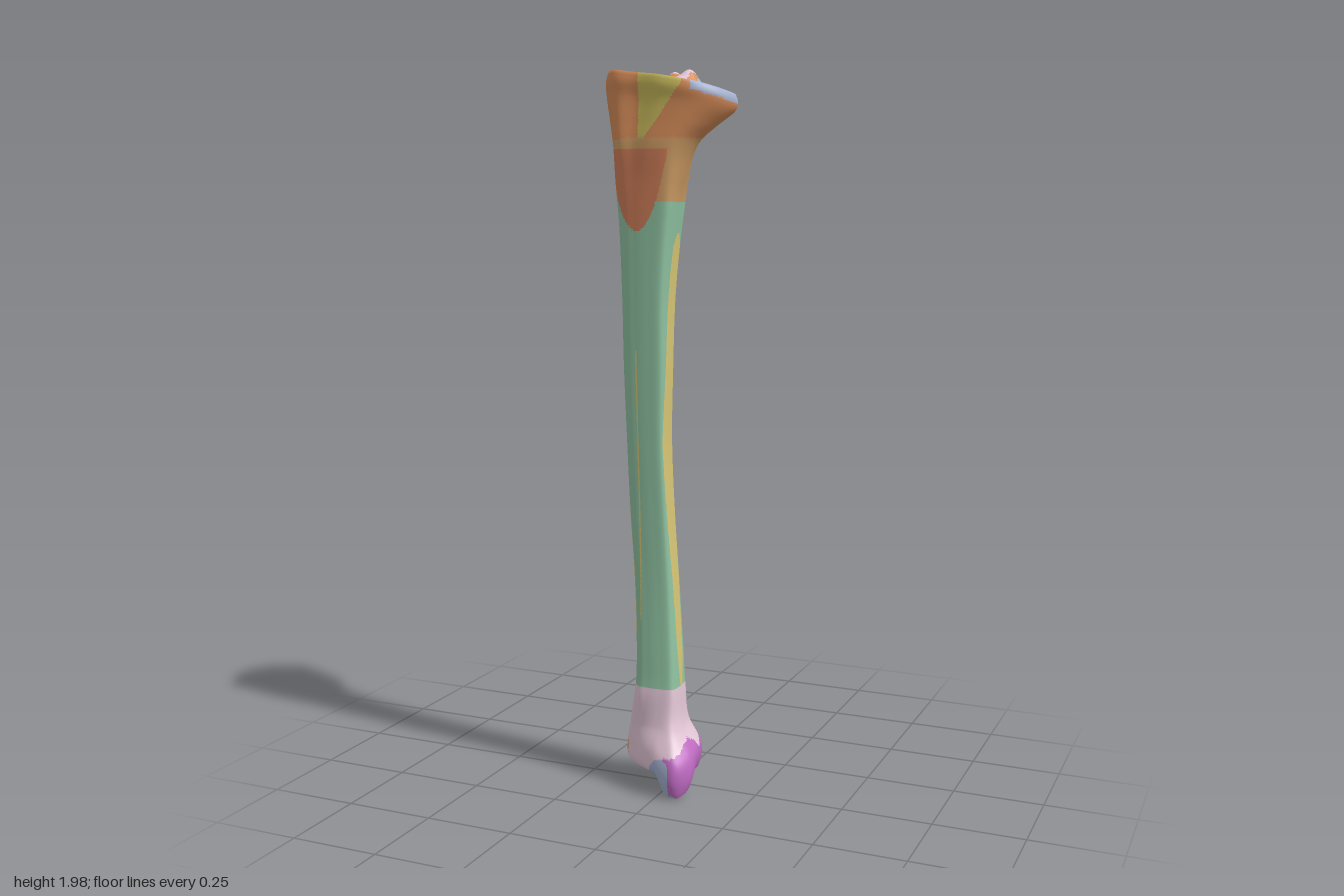
import * as THREE from 'three';

// Long bone: one lofted surface, divided into named anatomical regions
const N = 216, SIDE = 250, CAP = 32;
const RIM_TOP = 1.95, RIM_BOTTOM = 0.05;

// Cross-section outlines, normalised to -1..1, from +x round by +z
const HEAD = [[1, 0], [.9, .5], [.6, .87], [.15, 1], [-.27, .93], [-.65, .92], [-.92, .43], [-1, -.05], [-.86, -.6], [-.46, -1], [0, -.87], [.65, -.5]];
const SHAFT = [[1, .05], [1, .6], [.86, .92], [.35, 1], [-.15, 1], [-.62, .92], [-.92, .52], [-1, .02], [-.8, -.48], [-.35, -.84], [.32, -1], [.88, -.65]];
const FOOT = [[1, .2], [.98, .65], [.7, .97], [.15, .85], [-.35, .63], [-.75, .32], [-.96, -.02], [-.97, -.35], [-.93, -.7], [-.5, -.95], [.1, -1], [.75, -.78]];

// Height: min x, max x, min z, max z
const EXTENTS = [
  [.05, -.12, .08, -.07, .13], [.07, -.132, .087, -.082, .139], [.12, -.135, .086, -.085, .136],
  [.2, -.118, .046, -.06, .10], [.3, -.098, .035, -.045, .085], [.4, -.095, .03, -.04, .08],
  [.6, -.10, .02, -.03, .075], [.8, -.11, .01, -.02, .08], [1, -.115, .005, -.013, .09],
  [1.2, -.12, .01, -.012, .10], [1.4, -.122, .016, -.02, .11], [1.6, -.13, .035, -.035, .12],
  [1.7, -.14, .052, -.045, .126], [1.8, -.15, .09, -.06, .134], [1.85, -.165, .135, -.082, .132],
  [1.9, -.183, .178, -.13, .133], [1.93, -.185, .184, -.141, .139], [1.95, -.178, .178, -.137, .136],
];
const extents = new THREE.CubicInterpolant(EXTENTS.map(r => r[0]), EXTENTS.flatMap(r => r.slice(1)), 4);

const step = THREE.MathUtils.smoothstep, mix = THREE.MathUtils.lerp;
const bump = (x, z, cx, cz, r) => Math.exp(-((x - cx) ** 2 + (z - cz) ** 2) / (r * r));
const inside = (a, b, ca, cb, ra, rb) => ((a - ca) / ra) ** 2 + ((b - cb) / rb) ** 2 < 1;

// Piecewise linear lookup in [key, value] pairs
function lookup(table, k) {
  for (let i = 1; i < table.length; i++) {
    const [k0, v0] = table[i - 1], [k1, v1] = table[i];
    if (k <= k1) return mix(v0, v1, THREE.MathUtils.clamp((k - k0) / (k1 - k0), 0, 1));
  }
  return table[table.length - 1][1];
}

// Upper joint surface: two hollows and the raised spines between them
function topHeight(x, z) {
  const y = 1.951 - .15 * x + .15 * z
    + .038 * bump(x, z, -.012, -.042, .03) + .042 * bump(x, z, .047, -.012, .032)
    + .015 * bump(x, z, .01, .03, .07)
    - .012 * bump(x, z, -.09, .02, .06) - .01 * bump(x, z, .115, .01, .05)
    - .012 * bump(x, z, 0, -.13, .04);
  return Math.min(y, 2);
}

// Lower joint surface: shallow arch with the inner ankle knob hanging below
function bottomHeight(x, z) {
  const arch = .064 + .032 * bump(x, z, -.025, .04, .07);
  const knob = .01 + .045 * (1 - step(z, .02, .1)) + .02 * step(z, .11, .14) + .02 * step(x, .055, .09);
  return mix(arch, knob, step(x, -.01, .036));
}

// Closed smooth outline at parameter u in 0..1
function outline(points, u) {
  const n = points.length, f = u * n, i = Math.floor(f), t = f - i;
  const [a, b, c, d] = [-1, 0, 1, 2].map(k => points[(i + k + n) % n]);
  return [0, 1].map(k => .5 * (2 * b[k] + (c[k] - a[k]) * t
    + (2 * a[k] - 5 * b[k] + 4 * c[k] - d[k]) * t * t
    + (3 * b[k] - a[k] - 3 * c[k] + d[k]) * t * t * t));
}

function ringPoint(h, u, s) {
  const [x0, x1, z0, z1] = extents.evaluate(h);
  const wTop = step(h, 1.62, 1.9), wBottom = 1 - step(h, .1, .3);
  const a = outline(SHAFT, u), b = outline(HEAD, u), c = outline(FOOT, u);
  const p = [0, 1].map(k => mix(mix(a[k], b[k], wTop), c[k], wBottom));
  return [(x0 + x1) / 2 + p[0] * s * (x1 - x0) / 2, (z0 + z1) / 2 + p[1] * s * (z1 - z0) / 2];
}

// Borders of the ridge between the two upper joint areas, as [z, x]
const RIDGE_MIN = [[-.14, -.05], [-.1, -.03], [-.07, -.055], [-.03, -.065], [0, -.045], [.06, -.07], [.1, -.05], [.12, -.08]];
const RIDGE_MAX = [[-.1, .08], [-.085, .075], [-.075, .04], [-.04, .055], [0, .07], [.04, .085], [.12, .1]];
// Borders of the flat inner face of the shaft, as [y, z]
const FACE_BACK = [[.31, .012], [.4, .002], [.8, .0], [1, .006], [1.45, .0], [1.53, .006], [1.56, .025]];
const FACE_FRONT = [[.31, .03], [.4, .042], [.6, .05], [.8, .065], [1, .08], [1.45, .07], [1.53, .064], [1.56, .045]];
// Upper border of the ankle knob, as [z, y]
const KNOB_TOP = [[-.085, .14], [-.06, .155], [-.03, .142], [0, .125], [.02, .152], [.05, .167], [.08, .155], [.1, .14], [.13, .125]];
const PADS = [[-.125, -.037, .029, .041], [-.012, -.043, .02, .018], [.046, -.022, .016, .026],
  [.036, .018, .015, .03], [.018, .036, .022, .022], [.002, .06, .028, .03], [.106, .026, .021, .027]];

// Region of the bone at a surface point
function regionAt(x, y, z, part) {
  const joint = (x < lookup(RIDGE_MIN, z) && z < .125 + (x + .08) * .83) || x > lookup(RIDGE_MAX, z);
  if (part === 'top') {
    if (PADS.some(p => inside(x, z, ...p))) return 'attachmentPads';
    if (inside(x, z, .088, .018, .013, .015)) return 'ligamentPatches';
    return joint ? 'jointSurfaces' : 'condyles';
  }
  if (part === 'bottom') return x > .055 ? 'ankleKnob' : 'jointSurfaces';
  if (y > 1.56) {
    if (z > .05 && y > 1.81 && x > -.045 && x < .078 - Math.max(0, 1.95 - y) * .75) return 'ligamentPatches';
    if (z < -.07 && y > 1.87 && Math.abs(x - .02) < .025) return 'ligamentPatches';
    if (y > 1.85 && topHeight(x, z) - y < (x < 0 ? .035 : .025) && joint) return 'jointSurfaces';
    if (x < -.09 && z < .02 && inside(z, y, -.025, 1.82, .042, .065)) return 'attachmentPads';
    if (z > .05 && y < 1.785 && y > 1.57 + .06 * ((x + .055) / .05) ** 2) return 'frontTuberosity';
    if (z < 0 && inside(x, y, .05, 1.84, .05, .05)) return 'frontTuberosity';
    if (y > 1.81) return 'condyles';
    // the shaft runs up into the neck as a point along the rear outer ridge
    const point = x + z < -.08 ? .1 * Math.max(0, 1 - Math.abs(z - x - .06) / .035) : 0;
    return y > 1.645 + point ? 'neck' : 'shaft';
  }
  if (y > .31) {
    if (x > -.035 && z > lookup(FACE_BACK, y) && z < lookup(FACE_FRONT, y)) return 'innerFace';
    if (x < -.06 && y > .45 && y < 1.45 && Math.abs(z - .055) < .006) return 'innerFace';
    if (z > .04 && y > .5 && y < 1.25 && Math.abs(x + .066) < .002) return 'innerFace';
    return 'shaft';
  }
  if (z > 0 && x < .04 && inside(x, y, .012, .055, .042, .065)) return 'jointSurfaces';
  if (x > .022 + Math.max(0, -z - .03) * .6 && y < lookup(KNOB_TOP, z)) return 'ankleKnob';
  if (x < -.09 && y < .135 && Math.abs(z - .015) < .035) return 'sideNotch';
  return 'distalEnd';
}

export function createModel() {
  const group = new THREE.Group();
  group.name = 'shinBone';
  const paint = (name, color) => {
    const m = new THREE.MeshStandardMaterial({ color });
    m.name = name;
    return m;
  };
  const orange = paint('orange', 0xd48b58), yellow = paint('straw yellow', 0xd8c776);
  const materials = {
    shaft: paint('sage green', 0x90c3a2), innerFace: yellow,
    condyles: orange, sideNotch: orange,
    neck: paint('tan', 0xcd9c64), frontTuberosity: paint('terracotta', 0xd07e59),
    ligamentPatches: paint('olive yellow', 0xc9ba5c), jointSurfaces: paint('slate blue', 0xa5b1d0),
    attachmentPads: paint('pale pink', 0xe3c7d6), ankleKnob: paint('orchid', 0xc06cc3),
  };
  materials.distalEnd = materials.attachmentPads;

  // Rows of the loft: lower cap, side wall, upper cap
  const rows = [];
  for (let i = 0; i < CAP; i++) rows.push({ h: RIM_BOTTOM, s: i / CAP, part: 'bottom' });
  for (let i = 0; i <= SIDE; i++) rows.push({ h: mix(RIM_BOTTOM, RIM_TOP, i / SIDE), s: 1, part: 'side' });
  for (let i = CAP - 1; i >= 0; i--) rows.push({ h: RIM_TOP, s: i / CAP, part: 'top' });

  const positions = [];
  for (const { h, s, part } of rows) {
    for (let j = 0; j < N; j++) {
      const [x, z] = ringPoint(h, j / N, s);
      let y = h;
      if (part === 'top') y = topHeight(x, z);
      else if (part === 'bottom') y = bottomHeight(x, z);
      else if (h > 1.8) y = mix(1.8, topHeight(x, z), (h - 1.8) / (RIM_TOP - 1.8));
      else if (h < .2) y = mix(.2, bottomHeight(x, z), (.2 - h) / (.2 - RIM_BOTTOM));
      positions.push(x, y, z);
    }
  }

  // Sort the faces into regions
  const all = [], regions = {};
  const addFace = (part, ...face) => {
    const [x, y, z] = [0, 1, 2].map(k => face.reduce((sum, v) => sum + positions[v * 3 + k], 0) / 3);
    (regions[regionAt(x, y, z, part)] ??= []).push(...face);
    all.push(...face);
  };
  for (let i = 0; i < rows.length - 1; i++) {
    const part = rows[i].part === 'bottom' ? 'bottom' : rows[i + 1].part;
    for (let j = 0; j < N; j++) {
      const k = (j + 1) % N, a = i * N + j, b = i * N + k, c = a + N, d = b + N;
      if (i > 0) addFace(part, a, c, b);
      if (i < rows.length - 2) addFace(part, b, c, d);
    }
  }

  // Smooth normals are shared, so the regions meet without seams
  const whole = new THREE.BufferGeometry();
  whole.setAttribute('position', new THREE.Float32BufferAttribute(positions, 3));
  whole.setIndex(all);
  whole.computeVertexNormals();
  for (const [name, index] of Object.entries(regions)) {
    const geometry = new THREE.BufferGeometry();
    geometry.setAttribute('position', whole.getAttribute('position'));
    geometry.setAttribute('normal', whole.getAttribute('normal'));
    geometry.setIndex(index);
    const mesh = new THREE.Mesh(geometry, materials[name]);
    mesh.name = name;
    group.add(mesh);
  }
  return group;
}
